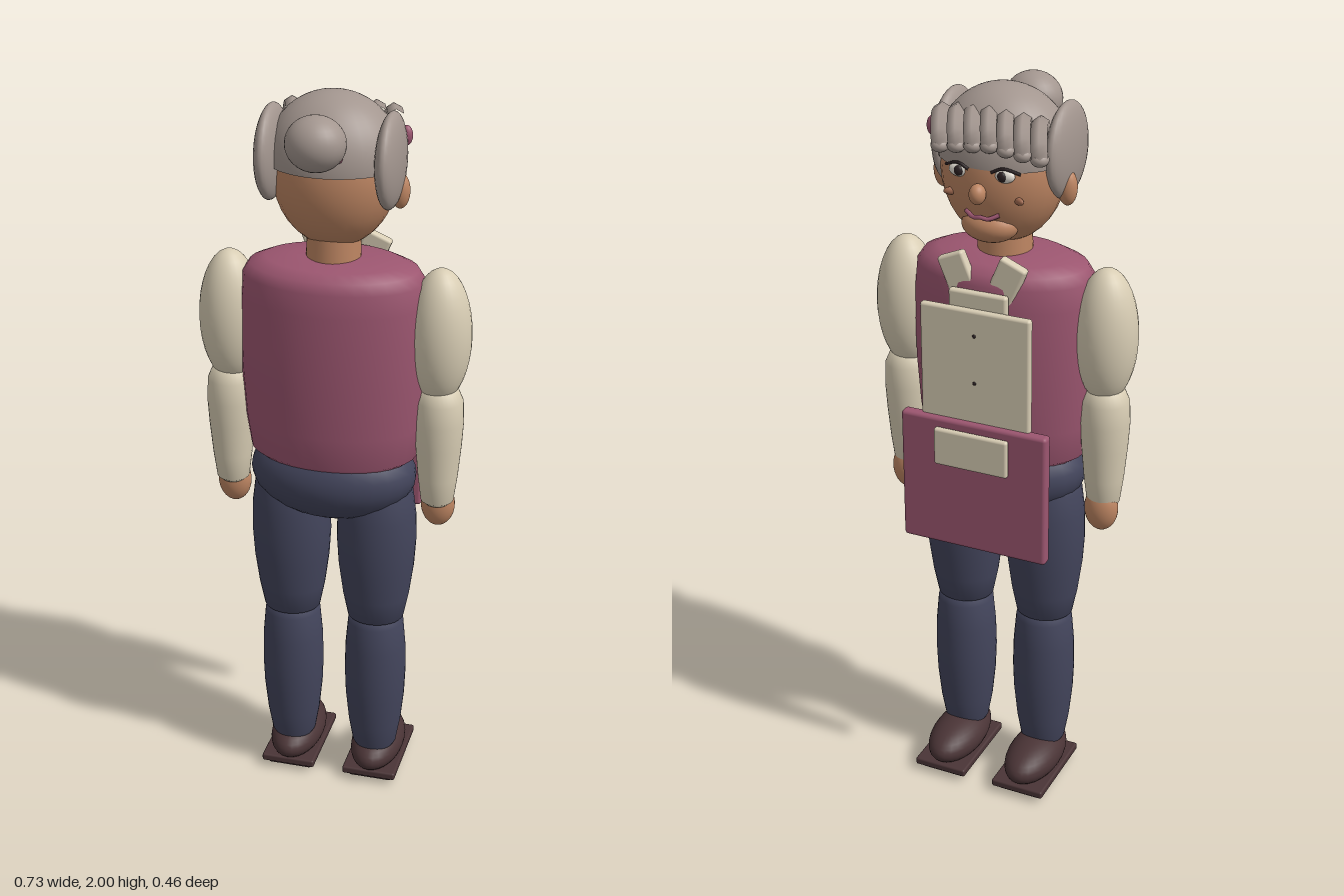
import * as THREE from 'three';
import { RoundedBoxGeometry } from 'three/addons/geometries/RoundedBoxGeometry.js';

const mat = (name, color) => {
  const m = new THREE.MeshStandardMaterial({ color });
  m.name = name;
  return m;
};

export function createModel() {
  const root = new THREE.Group();
  root.name = 'elderFigure';
  const skin = mat('skin', 0xbd8562), hair = mat('greyHair', 0xa3968f), plum = mat('plumCloth', 0x9c5670);
  const cream = mat('creamCloth', 0xd8cdb4), navy = mat('navyCloth', 0x43455c), shoe = mat('brownLeather', 0x4a3436);
  const white = mat('eyeWhite', 0xe8e2d8), dark = mat('darkDetail', 0x2a2022), blush = mat('cheek', 0xa06a50);

  const add = (name, geo, material, x = 0, y = 0, z = 0) => {
    const m = new THREE.Mesh(geo, material);
    m.name = name;
    m.position.set(x, y, z);
    root.add(m);
    return m;
  };
  const ball = (name, material, [x, y, z], [rx, ry, rz], theta = Math.PI) => {
    const m = add(name, new THREE.SphereGeometry(1, 28, 18, 0, Math.PI * 2, 0, theta), material, x, y, z);
    m.scale.set(rx, ry, rz);
    return m;
  };
  // Turned body part from [radius, height] pairs, flattened in depth
  const turned = (name, material, pts, x = 0, z = 0, depth = 1) => {
    const m = add(name, new THREE.LatheGeometry(pts.map(p => new THREE.Vector2(...p)), 32), material, x, 0, z);
    m.scale.z = depth;
    return m;
  };
  const slab = (name, material, [x, y, z], [w, h, d], r = 0.008) =>
    add(name, new RoundedBoxGeometry(w, h, d, 3, r), material, x, y, z);
  const tube = (name, material, pts, r) =>
    add(name, new THREE.TubeGeometry(new THREE.CatmullRomCurve3(pts.map(p => new THREE.Vector3(...p))), 12, r, 6), material);

  // Torso, hips and neck
  turned('torso', plum, [[0, 1.01], [0.2, 1.012], [0.225, 1.03], [0.238, 1.12], [0.247, 1.25], [0.249, 1.36],
    [0.246, 1.46], [0.24, 1.52], [0.222, 1.548], [0.18, 1.566], [0.1, 1.575], [0, 1.578]], 0, -0.01, 0.645);
  ball('hips', navy, [0, 0.965, -0.01], [0.226, 0.13, 0.152]);
  add('neck', new THREE.CylinderGeometry(0.068, 0.072, 0.12, 28), skin, 0, 1.6, -0.01);

  // Limbs, mirrored
  for (const s of [-1, 1]) {
    turned('thigh', navy, [[0, 0.51], [0.05, 0.515], [0.078, 0.53], [0.092, 0.6], [0.104, 0.69], [0.109, 0.77],
      [0.107, 0.85], [0.098, 0.92], [0.075, 0.98], [0, 1.01]], s * 0.12, -0.013, 0.93);
    turned('shin', navy, [[0, 0.085], [0.05, 0.09], [0.062, 0.11], [0.074, 0.18], [0.083, 0.27], [0.086, 0.35],
      [0.084, 0.43], [0.077, 0.51], [0.06, 0.54], [0, 0.55]], s * 0.12, -0.015);
    ball('shoeUpper', shoe, [s * 0.12, 0.07, -0.065], [0.074, 0.057, 0.142]);
    slab('shoeSole', shoe, [s * 0.12, 0.029, -0.07], [0.154, 0.022, 0.26], 0.006);
    slab('shoeTread', shoe, [s * 0.12, 0.01, -0.07], [0.125, 0.02, 0.22], 0.006);

    ball('upperSleeve', cream, [s * 0.281, 1.38, -0.012], [0.083, 0.183, 0.083]);
    turned('lowerSleeve', cream, [[0, 0.895], [0.03, 0.898], [0.044, 0.91], [0.053, 0.98], [0.061, 1.07],
      [0.065, 1.14], [0.062, 1.2], [0.045, 1.24], [0, 1.26]], s * 0.285, -0.012);
    ball('hand', skin, [s * 0.285, 0.89, -0.025], [0.046, 0.064, 0.037]);
  }

  // Head and face, facing -z
  ball('head', skin, [0, 1.79, -0.02], [0.16, 0.19, 0.142]);
  ball('chin', skin, [0, 1.665, -0.1], [0.075, 0.045, 0.054]);
  ball('nose', skin, [0, 1.765, -0.172], [0.021, 0.026, 0.023]);
  tube('mouth', plum, [[-0.045, 1.708, -0.142], [-0.02, 1.698, -0.154], [0, 1.701, -0.157], [0.02, 1.698, -0.154],
    [0.045, 1.708, -0.142]], 0.006);
  for (const s of [-1, 1]) {
    ball('ear', skin, [s * 0.17, 1.757, -0.014], [0.025, 0.046, 0.024]);
    ball('eye', white, [s * 0.06, 1.812, -0.146], [0.028, 0.018, 0.014]);
    ball('iris', dark, [s * 0.058, 1.812, -0.156], [0.012, 0.013, 0.008]);
    tube('upperLid', dark, [[s * 0.03, 1.82, -0.158], [s * 0.06, 1.832, -0.155], [s * 0.1, 1.818, -0.139]], 0.004);
    ball('cheek', blush, [s * 0.09, 1.748, -0.131], [0.02, 0.01, 0.008]).rotation.y = s * 0.5;
  }

  // Hair: cap, side volumes, bun with band, fringe and clip
  ball('hairCap', hair, [0, 1.83, -0.012], [0.172, 0.17, 0.148], Math.PI * 0.52);
  for (const s of [-1, 1]) ball('sideHair', hair, [s * 0.153, 1.842, 0.018], [0.034, 0.122, 0.112]);
  ball('bun', hair, [0, 1.914, 0.16], [0.076, 0.069, 0.07]);
  const band = add('bunBand', new THREE.TorusGeometry(0.046, 0.013, 10, 28), plum, 0, 1.876, 0.125);
  band.rotation.x = 0.6;
  for (let i = 0; i < 7; i++) {
    const x = -0.155 + i * 0.044, drop = Math.abs(x + 0.02) * 0.12;
    tube('fringeLock', hair, [[x + 0.035, 1.94 - drop, -0.065], [x + 0.018, 1.942 - drop, -0.115],
      [x + 0.004, 1.912 - drop, -0.148], [x, 1.885 - drop, -0.152]], 0.023);
    ball('fringeTip', hair, [x, 1.884 - drop, -0.152], [0.023, 0.018, 0.023]);
  }
  ball('hairClip', plum, [0.172, 1.884, -0.064], [0.016, 0.026, 0.013]);

  // Apron: skirt, pocket, bib and straps
  slab('apronSkirt', plum, [0, 0.975, -0.197], [0.41, 0.37, 0.034], 0.01);
  slab('apronPocket', cream, [0, 1.085, -0.222], [0.208, 0.105, 0.018]);
  slab('apronBib', cream, [0, 1.305, -0.187], [0.304, 0.325, 0.022]);
  slab('bibTop', cream, [0, 1.48, -0.17], [0.16, 0.06, 0.022]);
  for (const s of [-1, 1])
    slab('apronStrap', cream, [s * 0.065, 1.535, -0.145], [0.075, 0.12, 0.028]).rotation.z = -s * 0.4;
  for (const y of [1.27, 1.4]) ball('bibStud', dark, [0, y, -0.198], [0.005, 0.005, 0.003]);

  return root;
}
